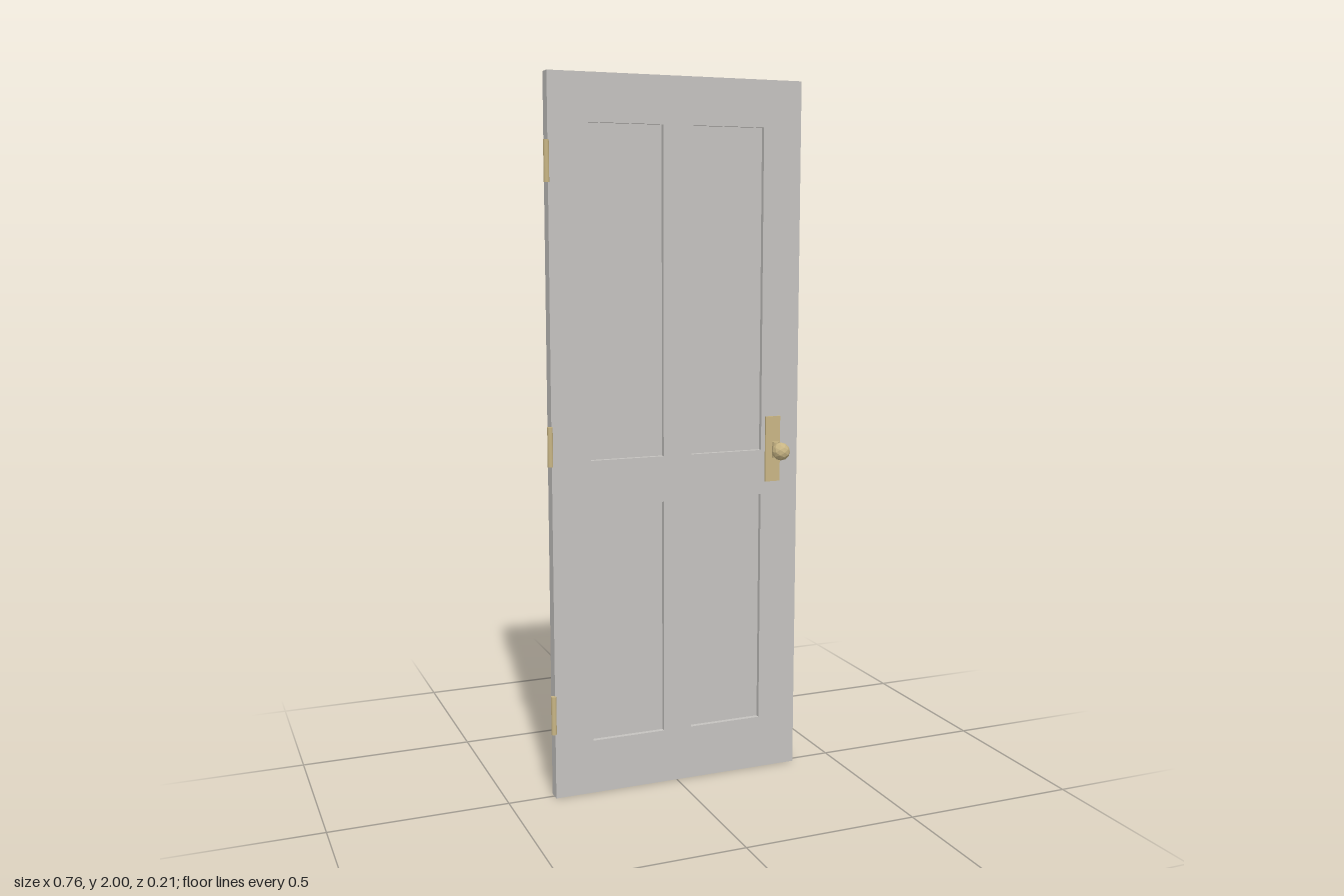
import * as THREE from 'three';

const DOOR = { left: -0.367, right: 0.377, height: 2, half: 0.0185, core: 0.005 };
const PANEL_COLUMNS = [[-0.255, -0.04], [0.045, 0.262]];
const PANEL_ROWS = [[0.155, 0.83], [0.96, 1.87]];
const KNOB = { x: 0.297, y: 0.962 };

const rectangle = (path, x0, y0, x1, y1) => {
  path.moveTo(x0, y0);
  path.lineTo(x1, y0);
  path.lineTo(x1, y1);
  path.lineTo(x0, y1);
  path.closePath();
  return path;
};

export function createModel() {
  const group = new THREE.Group();
  const paint = new THREE.MeshStandardMaterial({ color: 0xc4c2bf });
  paint.name = 'grey paint';
  const brass = new THREE.MeshStandardMaterial({ color: 0xc8b584 });
  brass.name = 'brass';

  const add = (parent, name, geometry, material, x, y, z) => {
    const mesh = new THREE.Mesh(geometry, material);
    mesh.name = name;
    mesh.position.set(x, y, z);
    parent.add(mesh);
    return mesh;
  };

  // Door frame of stiles and rails, with four openings
  const outline = rectangle(new THREE.Shape(), DOOR.left, 0, DOOR.right, DOOR.height);
  for (const [x0, x1] of PANEL_COLUMNS) {
    for (const [y0, y1] of PANEL_ROWS) {
      outline.holes.push(rectangle(new THREE.Path(), x0, y0, x1, y1));
    }
  }
  const frame = new THREE.ExtrudeGeometry(outline, { depth: DOOR.half * 2, bevelEnabled: false });
  add(group, 'doorFrame', frame, paint, 0, 0, -DOOR.half);

  // Thin panels set back from both faces
  for (const [x0, x1] of PANEL_COLUMNS) {
    for (const [y0, y1] of PANEL_ROWS) {
      const panel = new THREE.BoxGeometry(x1 - x0, y1 - y0, DOOR.core * 2);
      add(group, 'recessedPanel', panel, paint, (x0 + x1) / 2, (y0 + y1) / 2, 0);
    }
  }

  // Backplate, upright stem and faceted knob on each face
  const plate = new THREE.BoxGeometry(0.046, 0.19, 0.006);
  const stem = new THREE.CylinderGeometry(0.01, 0.01, 0.046, 16);
  const ball = new THREE.IcosahedronGeometry(0.026, 1);
  ball.computeVertexNormals();
  for (const side of [1, -1]) {
    const handle = new THREE.Group();
    handle.name = side > 0 ? 'frontHandle' : 'backHandle';
    add(handle, 'backplate', plate, brass, KNOB.x, KNOB.y, side * (DOOR.half + 0.0025));
    add(handle, 'knobStem', stem, brass, KNOB.x, KNOB.y, side * 0.043);
    add(handle, 'knob', ball, brass, KNOB.x, KNOB.y, side * 0.077);
    group.add(handle);
  }

  // Hinge barrels
  const barrel = new THREE.CylinderGeometry(0.0075, 0.0075, 0.11, 16);
  for (const y of [0.245, 1.005, 1.767]) {
    add(group, 'hinge', barrel, brass, -0.371, y, 0.0185);
  }

  return group;
}
